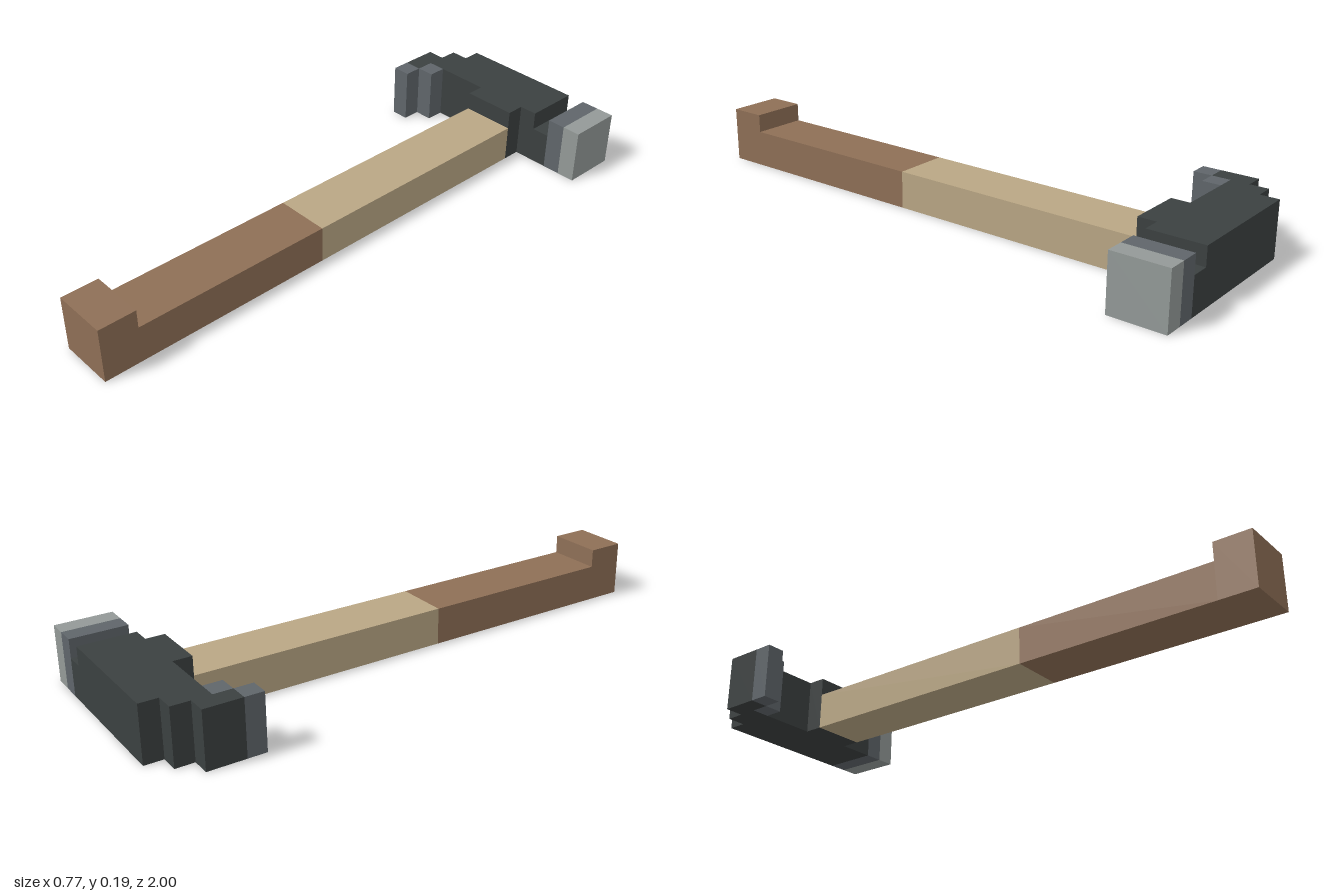
import * as THREE from 'three';

// Grid unit: the hammer is 31 units long and 12 units wide
const U = 2 / 31;

const material = (name, color) => {
  const m = new THREE.MeshStandardMaterial({ color });
  m.name = name;
  return m;
};

// Prism from a plan outline of [x, z] grid corners (z counted from the back), standing on y = 0
function planPrism(name, outline, height, mat) {
  const shape = new THREE.Shape(outline.map(([x, z]) => new THREE.Vector2(x * U, (z - 15.5) * U)));
  const geo = new THREE.ExtrudeGeometry(shape, { depth: height * U, bevelEnabled: false });
  geo.rotateX(Math.PI / 2).translate(0, height * U, 0);
  const mesh = new THREE.Mesh(geo, mat);
  mesh.name = name;
  return mesh;
}

// Block spanning grid ranges in x and z
const block = (name, x0, x1, z0, z1, height, mat) =>
  planPrism(name, [[x0, z0], [x1, z0], [x1, z1], [x0, z1]], height, mat);

export function createModel() {
  const darkSteel = material('dark steel', 0x3b4040);
  const midSteel = material('mid steel', 0x5f656a);
  const lightSteel = material('light steel', 0x939997);
  const paleWood = material('pale wood', 0xb9a684);
  const brownGrip = material('brown grip', 0x8e6f56);

  const hammer = new THREE.Group();
  hammer.name = 'hammer';

  // Head with neck socket and stepped claw
  const head = new THREE.Group();
  head.name = 'head';
  head.add(
    planPrism('headBody', [
      [-4, 0], [3, 0], [3, 3], [2, 3], [2, 4], [-1, 4], [-1, 3],
      [-5, 3], [-5, 4], [-6, 4], [-6, 2], [-5, 2], [-5, 1], [-4, 1],
    ], 3, darkSteel),
    block('strikerNeck', 3, 4, 0, 3, 2, darkSteel),
    block('strikerCollar', 4, 5, 0, 3, 3, midSteel),
    block('strikerFace', 5, 6, 0, 3, 3, lightSteel),
    block('innerClawTip', -5, -4, 3, 4, 3, midSteel),
    block('outerClawTip', -6, -5, 4, 5, 3, midSteel),
  );

  // Handle: bare wood, then a grip ending in a raised pommel
  const gripStart = 18.05;
  const handle = new THREE.Group();
  handle.name = 'handle';
  handle.add(
    block('shaft', -1, 2, 4, gripStart, 2, paleWood),
    block('grip', -1, 2, gripStart, 29, 2, brownGrip),
    block('pommel', -1, 2, 29, 31, 3, brownGrip),
  );

  hammer.add(head, handle);
  return hammer;
}
